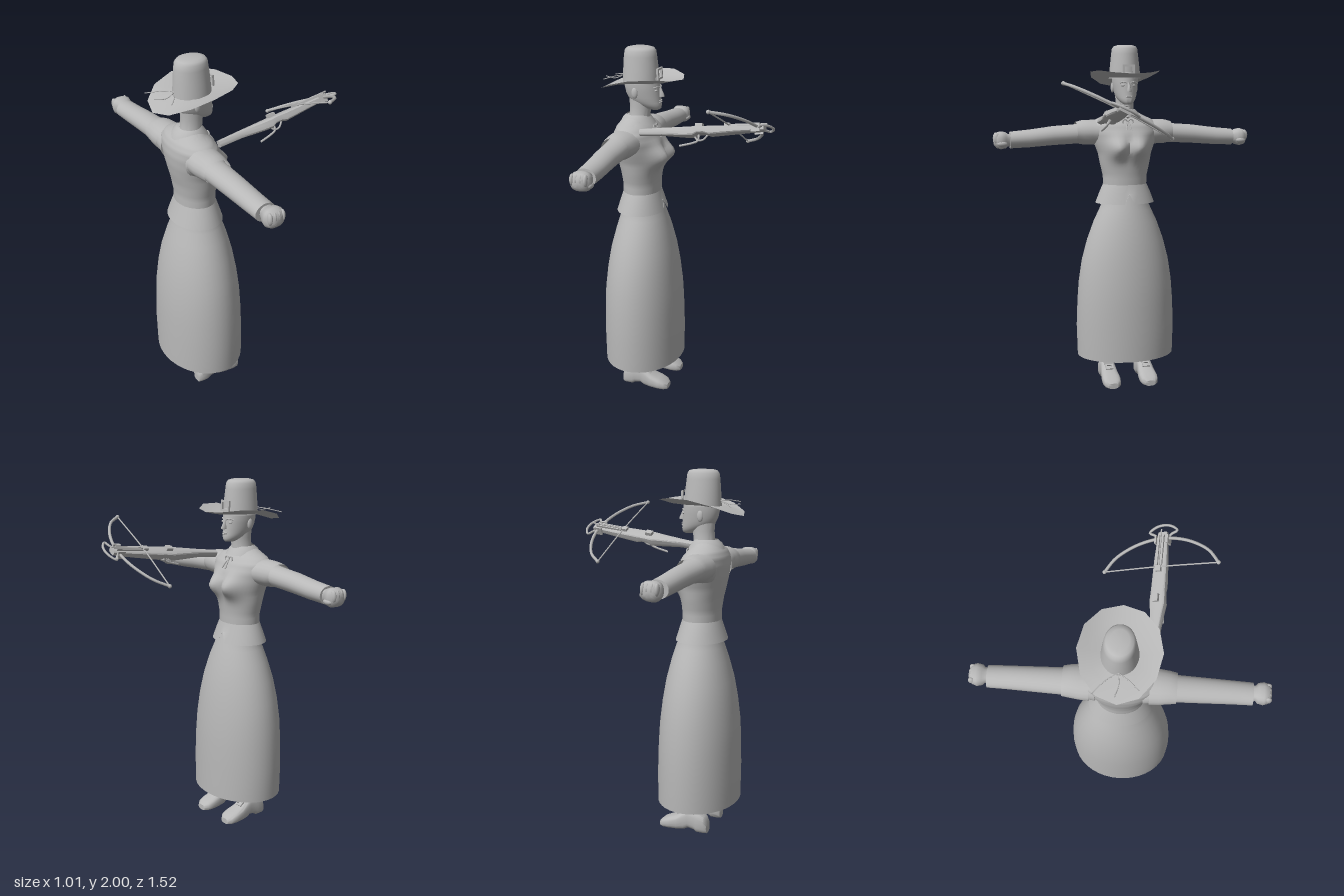
import * as THREE from 'three';
import { toCreasedNormals } from 'three/addons/utils/BufferGeometryUtils.js';

const grey = new THREE.MeshStandardMaterial({ color: 0xb8b8b8, side: THREE.DoubleSide });
grey.name = 'plain grey';

const V = (x, y, z) => new THREE.Vector3(x, y, z);

function add(parent, name, geo, x = 0, y = 0, z = 0) {
  const m = new THREE.Mesh(geo, grey);
  m.name = name;
  m.position.set(x, y, z);
  parent.add(m);
  return m;
}

// Skin over oval rows [s, u0, u1, v0, v1]; (s,u,v) is (x,y,z), (y,z,x) or (z,x,y).
function loft(axis, rows, { n = 32, power = 2, sub = 1, open = false, crease = 0.75, warp } = {}) {
  const full = [];
  rows.forEach((r, i) => {
    const next = rows[i + 1];
    if (!next) full.push(r);
    else for (let k = 0; k < sub; k++) full.push(r.map((a, c) => a + (next[c] - a) * k / sub));
  });
  const pos = [], idx = [], k0 = 'xyz'.indexOf(axis);
  const put = (s, u, v) => {
    const p = [0, 0, 0];
    p[k0] = s; p[(k0 + 1) % 3] = u; p[(k0 + 2) % 3] = v;
    const q = V(...p);
    if (warp) warp(q);
    pos.push(q.x, q.y, q.z);
  };
  const bend = c => Math.abs(c) < 1e-6 ? 0 : Math.sign(c) * Math.abs(c) ** (2 / power);
  for (const [s, u0, u1, v0, v1] of full) for (let j = 0; j < n; j++) {
    const a = j / n * Math.PI * 2;
    put(s, (u0 + u1) / 2 + (u1 - u0) / 2 * bend(Math.cos(a)), (v0 + v1) / 2 + (v1 - v0) / 2 * bend(Math.sin(a)));
  }
  const last = (full.length - 1) * n;
  for (let i = 0; i < last; i += n) for (let j = 0; j < n; j++) {
    const a = i + j, b = i + (j + 1) % n;
    idx.push(a, b, b + n, a, b + n, a + n);
  }
  if (!open) {
    const c = full.length * n;
    for (const r of [full[0], full[full.length - 1]]) put(r[0], (r[1] + r[2]) / 2, (r[3] + r[4]) / 2);
    for (let j = 0; j < n; j++) {
      const k = (j + 1) % n;
      idx.push(c, k, j, c + 1, last + j, last + k);
    }
  }
  const g = new THREE.BufferGeometry();
  g.setAttribute('position', new THREE.Float32BufferAttribute(pos, 3));
  g.setIndex(idx);
  return toCreasedNormals(g, crease);
}
// Upright body part from rows [y, half width in z, back x, front x]
const upright = (rows, opt) => loft('y', rows.map(([y, w, b, f]) => [y, -w, w, b, f]), opt);

const tube = (pts, r, seg = 24) =>
  new THREE.TubeGeometry(new THREE.CatmullRomCurve3(pts.map(p => V(...p))), seg, r, 6);

// Square buckle frame facing +x
function buckle(parent, name, w, h, t) {
  const g = new THREE.Group();
  g.name = name;
  for (const s of [-1, 1]) {
    add(g, 'buckleSide', new THREE.BoxGeometry(t, h, t), 0, 0, s * (w - t) / 2);
    add(g, 'buckleBar', new THREE.BoxGeometry(t, t, w), 0, s * (h - t) / 2, 0);
  }
  parent.add(g);
  return g;
}

function buildBody(root) {
  add(root, 'skirt', upright([
    [0.17, 0.29, -0.507, -0.055], [0.35, 0.295, -0.507, -0.055], [0.5, 0.289, -0.503, -0.058],
    [0.62, 0.28, -0.497, -0.064], [0.75, 0.26, -0.481, -0.078], [0.87, 0.228, -0.46, -0.096],
    [0.98, 0.188, -0.43, -0.122], [1.05, 0.155, -0.408, -0.143], [1.1, 0.133, -0.393, -0.16],
    [1.16, 0.126, -0.383, -0.18]], { n: 40, open: true }));
  // Flared jacket hem with a V notch at the front
  add(root, 'jacketHem', upright([
    [1.09, 0.175, -0.422, -0.145], [1.15, 0.152, -0.402, -0.163], [1.2, 0.13, -0.386, -0.178]],
  { n: 36, open: true, warp: p => { if (p.y < 1.1 && Math.abs(p.z) < 0.01 && p.x > -0.2) p.set(-0.16, 1.148, 0); } }));
  add(root, 'jacket', upright([
    [1.19, 0.129, -0.386, -0.179], [1.25, 0.131, -0.386, -0.178], [1.32, 0.147, -0.395, -0.172],
    [1.38, 0.158, -0.409, -0.166], [1.44, 0.18, -0.42, -0.165], [1.5, 0.198, -0.425, -0.17],
    [1.545, 0.2, -0.42, -0.188], [1.575, 0.17, -0.407, -0.212], [1.6, 0.115, -0.388, -0.235],
    [1.625, 0.07, -0.366, -0.25]], {
    n: 48, sub: 4, crease: 1,
    warp: p => {
      if (p.x > -0.28) p.x += 0.064 * Math.exp(-(((p.y - 1.415) / 0.06) ** 2) - (((Math.abs(p.z) - 0.062) / 0.055) ** 2));
    }
  }));
  add(root, 'collar', upright([
    [1.585, 0.1, -0.4, -0.205], [1.615, 0.085, -0.385, -0.225], [1.635, 0.066, -0.362, -0.24]], { open: true }));
  // Ribbon tied below the collar
  for (const s of [-1, 1]) {
    add(root, 'ribbonLoop', new THREE.TorusGeometry(0.014, 0.004, 6, 14), -0.2, 1.565, s * 0.017).rotation.y = Math.PI / 2;
    add(root, 'ribbonTail', tube([[-0.2, 1.565, 0], [-0.178, 1.54, s * 0.01], [-0.162, 1.515, s * 0.014]], 0.004, 8));
  }
}

function buildHead(root) {
  add(root, 'neck', upright([
    [1.58, 0.066, -0.36, -0.225], [1.63, 0.055, -0.347, -0.232], [1.68, 0.052, -0.344, -0.225], [1.75, 0.055, -0.35, -0.22]]));
  add(root, 'head', upright([
    [1.664, 0.02, -0.235, -0.176], [1.672, 0.032, -0.26, -0.166], [1.69, 0.048, -0.305, -0.163],
    [1.715, 0.06, -0.345, -0.166], [1.75, 0.068, -0.364, -0.168], [1.79, 0.074, -0.372, -0.17],
    [1.84, 0.075, -0.372, -0.175], [1.87, 0.06, -0.35, -0.19]], { sub: 2, crease: 1 }));
  add(root, 'nose', upright([
    [1.735, 0.013, -0.185, -0.146], [1.742, 0.014, -0.185, -0.144], [1.765, 0.009, -0.185, -0.155],
    [1.79, 0.007, -0.185, -0.165]], { n: 10 }));
  for (const y of [1.706, 1.715])
    add(root, 'lip', new THREE.SphereGeometry(1, 10, 6), -0.17, y, 0).scale.set(0.01, 0.005, 0.022);
  for (const s of [-1, 1]) {
    add(root, 'eye', new THREE.SphereGeometry(1, 12, 8), -0.184, 1.772, s * 0.029).scale.set(0.011, 0.007, 0.014);
    add(root, 'brow', tube([[-0.169, 1.787, s * 0.01], [-0.175, 1.792, s * 0.028], [-0.192, 1.787, s * 0.047]], 0.004, 8));
    add(root, 'ear', new THREE.SphereGeometry(1, 12, 8), -0.29, 1.76, s * 0.07).scale.set(0.018, 0.03, 0.01);
  }
}

function buildHat(root) {
  const hat = new THREE.Group();
  hat.name = 'hat';
  root.add(hat);
  add(hat, 'crown', upright([
    [1.81, 0.092, -0.38, -0.176], [1.88, 0.085, -0.376, -0.181], [1.95, 0.077, -0.371, -0.189],
    [1.98, 0.073, -0.366, -0.193], [1.994, 0.064, -0.354, -0.203], [2.0, 0.045, -0.33, -0.225]], { crease: 1 }));
  // Brim rises at the sides and droops at the back
  const n = 12, pos = [], idx = [];
  [0, 0.5, 1].forEach((t, i) => {
    for (let j = 0; j < n; j++) {
      const a = (j / n) * Math.PI * 2, c = Math.cos(a), s = Math.sin(a);
      const edge = 0.037 * c + 0.05 * s * s;
      pos.push(-0.272 + c * (0.09 + 0.146 * t), 1.815 - 0.015 * t + edge * t * (0.4 + 0.6 * t), s * (0.08 + 0.124 * t));
      const k = (j + 1) % n, p = i * n;
      if (i < 2) idx.push(p + j, p + k, p + n + k, p + j, p + n + k, p + n + j);
    }
  });
  const g = new THREE.BufferGeometry();
  g.setAttribute('position', new THREE.Float32BufferAttribute(pos, 3));
  g.setIndex(idx.reverse());
  add(hat, 'brim', toCreasedNormals(g, 0.6));
  const b = buckle(hat, 'hatBuckle', 0.07, 0.06, 0.011);
  b.position.set(-0.172, 1.86, 0);
  b.rotation.z = 0.06;
  // Loose cord ends behind the crown
  add(hat, 'cordRight', tube([[-0.378, 1.84, 0], [-0.41, 1.835, -0.05], [-0.48, 1.815, -0.12]], 0.0025, 12));
  add(hat, 'cordLeft', tube([[-0.378, 1.84, 0], [-0.41, 1.84, 0.05], [-0.455, 1.83, 0.1]], 0.0025, 12));
  add(hat, 'cordBack', tube([[-0.378, 1.84, 0], [-0.43, 1.82, 0.005], [-0.49, 1.825, -0.01]], 0.0025, 12));
}

// Arm, leg and shoe on the +z side; the other side is mirrored
function buildLimbs(root, side) {
  const limb = new THREE.Group();
  limb.name = side > 0 ? 'limbsNear' : 'limbsFar';
  limb.scale.z = side;
  root.add(limb);
  add(limb, 'sleeve', loft('z', [
    [0.12, -0.405, -0.24, 1.4, 1.565], [0.2, -0.398, -0.243, 1.44, 1.562], [0.28, -0.39, -0.25, 1.437, 1.55],
    [0.42, -0.383, -0.252, 1.43, 1.54], [0.56, -0.374, -0.252, 1.42, 1.522], [0.667, -0.37, -0.253, 1.416, 1.512]], { n: 24 }));
  add(limb, 'shoulderCap', loft('z', [
    [0.15, -0.415, -0.225, 1.43, 1.574], [0.2, -0.412, -0.228, 1.43, 1.574], [0.25, -0.405, -0.235, 1.432, 1.572],
    [0.285, -0.4, -0.242, 1.44, 1.563]], { n: 20, open: true }));
  add(limb, 'fist', loft('z', [
    [0.65, -0.345, -0.27, 1.43, 1.5], [0.68, -0.345, -0.268, 1.428, 1.5], [0.692, -0.357, -0.256, 1.418, 1.51],
    [0.72, -0.363, -0.25, 1.412, 1.515], [0.745, -0.355, -0.257, 1.42, 1.508], [0.76, -0.33, -0.283, 1.44, 1.488]],
  { n: 20, power: 2.6, crease: 1 }));
  for (let i = 0; i < 4; i++)
    add(limb, 'knuckle', new THREE.SphereGeometry(1, 10, 8), -0.344 + i * 0.024, 1.475, 0.742).scale.set(0.013, 0.032, 0.02);
  add(limb, 'thumb', new THREE.SphereGeometry(1, 10, 8), -0.262, 1.445, 0.715).scale.set(0.016, 0.016, 0.03);

  add(limb, 'leg', loft('y', [
    [0.08, 0.08, 0.14, -0.333, -0.262], [0.16, 0.082, 0.138, -0.33, -0.262], [0.25, 0.075, 0.145, -0.34, -0.255],
    [0.5, 0.06, 0.16, -0.355, -0.235]], { n: 18 }));
  const c = 0.113;
  add(limb, 'shoe', loft('x', [
    [-0.375, 0, 0.07, 0.03], [-0.36, 0, 0.1, 0.042], [-0.318, 0, 0.122, 0.045], [-0.3, 0.012, 0.125, 0.044],
    [-0.265, 0.018, 0.128, 0.044], [-0.24, 0.004, 0.115, 0.046], [-0.2, 0, 0.088, 0.051], [-0.15, 0, 0.068, 0.055],
    [-0.115, 0, 0.052, 0.049], [-0.095, 0.002, 0.034, 0.03]].map(([x, a, b, w]) => [x, a, b, c - w, c + w]),
  { n: 24, power: 3 }));
  add(limb, 'shoeTongue', new THREE.BoxGeometry(0.014, 0.06, 0.055), -0.243, 0.115, c).rotation.z = 0.3;
  const b = buckle(limb, 'shoeBuckle', 0.045, 0.035, 0.008);
  b.position.set(-0.212, 0.1, c);
  b.rotation.z = 0.95;
}

function buildCrossbow(root) {
  const bow = new THREE.Group();
  bow.name = 'crossbow';
  root.add(bow);
  // Rolled and aimed forward, with its origin at the middle of the string
  const X = V(0.99, 0.12, 0.02).normalize(), Y = V(-0.09, 0.45, 0.887).cross(X).normalize();
  bow.quaternion.setFromRotationMatrix(new THREE.Matrix4().makeBasis(X, Y, X.clone().cross(Y)));
  bow.position.set(0.27, 1.632, 0.165);
  add(bow, 'stock', loft('x', [
    [-0.5, -0.02, 0.016, 0.016], [-0.37, -0.022, 0.018, 0.02], [-0.24, -0.034, 0.018, 0.034], [-0.19, -0.036, 0.018, 0.042],
    [-0.165, -0.022, 0.018, 0.042], [-0.13, -0.022, 0.018, 0.04], [-0.1, -0.032, 0.018, 0.04], [0.05, -0.022, 0.016, 0.036],
    [0.19, -0.014, 0.013, 0.026]].map(([x, a, b, w]) => [x, a, b, -w, w]), { n: 16, power: 4, crease: 0.5 }));
  add(bow, 'limbs', tube([[0, 0.01, -0.32], [0.07, 0.008, -0.262], [0.125, 0.006, -0.165], [0.152, 0.004, -0.07],
    [0.157, 0.004, 0], [0.152, 0.004, 0.07], [0.125, 0.006, 0.165], [0.07, 0.008, 0.262], [0, 0.01, 0.32]], 0.0085, 48));
  add(bow, 'string', tube([[0, 0.01, -0.32], [0, 0.021, 0], [0, 0.01, 0.32]], 0.004));
  for (const s of [-1, 1]) {
    add(bow, 'limbTip', new THREE.SphereGeometry(0.011, 10, 8), 0, 0.01, s * 0.32);
    add(bow, 'railSide', new THREE.BoxGeometry(0.16, 0.012, 0.008), 0.09, 0.019, s * 0.012);
    add(bow, 'limbClamp', new THREE.BoxGeometry(0.045, 0.045, 0.01), 0.15, 0, s * 0.033);
  }
  add(bow, 'stirrup', tube([[0.15, 0, -0.024], [0.178, 0, -0.045], [0.196, 0, -0.078], [0.222, 0, -0.045], [0.231, 0, 0],
    [0.222, 0, 0.045], [0.196, 0, 0.078], [0.178, 0, 0.045], [0.15, 0, 0.024]], 0.007, 40));
  add(bow, 'nut', new THREE.BoxGeometry(0.03, 0.02, 0.03), -0.01, 0.022, 0);
  add(bow, 'bolt', new THREE.CylinderGeometry(0.004, 0.004, 0.2, 8), 0.1, 0.024, 0).rotation.z = Math.PI / 2;
  add(bow, 'rearSight', new THREE.BoxGeometry(0.04, 0.022, 0.03), -0.165, 0.025, 0);
  add(bow, 'triggerLever', tube([[-0.165, -0.02, 0], [-0.17, -0.055, 0], [-0.2, -0.067, 0], [-0.27, -0.08, 0]], 0.006, 16));
  add(bow, 'triggerGuard', tube([[-0.19, -0.03, 0], [-0.17, -0.052, 0], [-0.14, -0.05, 0], [-0.115, -0.025, 0]], 0.005, 16));
}

export function createModel() {
  const root = new THREE.Group();
  root.name = 'crossbowWoman';
  buildBody(root);
  buildHead(root);
  buildHat(root);
  buildLimbs(root, 1);
  buildLimbs(root, -1);
  buildCrossbow(root);
  return root;
}
